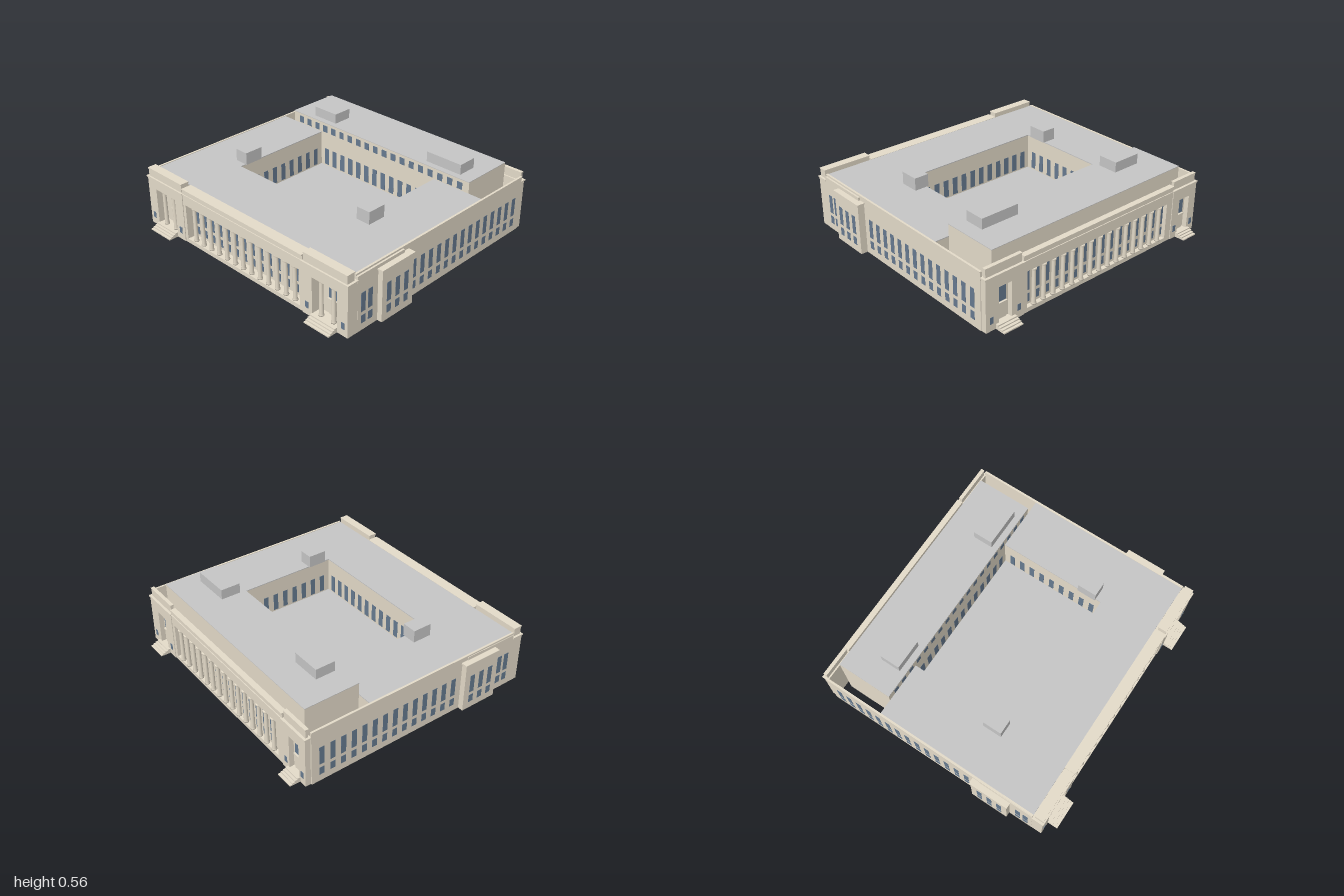
import * as THREE from 'three';

const paint = (name, color) => {
  const m = new THREE.MeshStandardMaterial({ color });
  m.name = name;
  return m;
};

export function createModel() {
  const model = new THREE.Group();
  model.name = 'courtyardBuilding';
  const stone = paint('limestone', 0xe4dbc9);
  const roof = paint('roofGrey', 0xc6c6c6);
  const glass = paint('windowBlue', 0x667a90);

  const add = (parent, name, geo, mat, x = 0, y = 0, z = 0) => {
    const m = new THREE.Mesh(geo, mat);
    m.name = name;
    m.position.set(x, y, z);
    parent.add(m);
    return m;
  };
  // Box given by its limits on each axis
  const box = (parent, name, mat, x0, x1, y0, y1, z0, z1) =>
    add(parent, name, new THREE.BoxGeometry(x1 - x0, y1 - y0, z1 - z0), mat,
      (x0 + x1) / 2, (y0 + y1) / 2, (z0 + z1) / 2);
  // Thin window plates centred on a wall face, facing z or x
  const paneZ = (p, x, y0, y1, z, w = 0.042) =>
    box(p, 'window', glass, x - w / 2, x + w / 2, y0, y1, z - 0.0015, z + 0.0015);
  const paneX = (p, z, y0, y1, x, w = 0.038) =>
    box(p, 'window', glass, x - 0.0015, x + 0.0015, y0, y1, z - w / 2, z + w / 2);
  const LOW = [0.05, 0.107], HIGH = [0.132, 0.267];

  // Slab with one rectangular opening
  const pierced = (parent, name, x0, x1, top, hx0, hx1, hy0, hy1, z0, z1) => {
    const s = new THREE.Shape([[x0, 0], [x1, 0], [x1, top], [x0, top]].map(p => new THREE.Vector2(...p)));
    s.holes.push(new THREE.Path([[hx0, hy0], [hx0, hy1], [hx1, hy1], [hx1, hy0]].map(p => new THREE.Vector2(...p))));
    add(parent, name, new THREE.ExtrudeGeometry(s, { depth: z1 - z0, bevelEnabled: false }), stone, 0, 0, z0);
  };

  // Column with base and capital, 0.26 tall
  const columnGeo = new THREE.LatheGeometry([
    [0, 0], [0.018, 0], [0.018, 0.008], [0.015, 0.014], [0.013, 0.238],
    [0.018, 0.248], [0.018, 0.26], [0, 0.26],
  ].map(p => new THREE.Vector2(...p)), 12);
  const column = (p, x, z) => add(p, 'column', columnGeo, stone, x, 0.03, z);

  // Whole street facade, built facing +z
  const facade = (name, o) => {
    const g = new THREE.Group();
    g.name = name;
    model.add(g);
    const [left, right] = o.pavilions;
    const a = left.x1, b = right.x0;
    const half = o.count * o.pitch / 2;
    const hole = half - 0.018;
    const back = o.z0 + 0.004;
    // colonnade
    pierced(g, 'colonnadeWall', a, b, 0.40, o.mid - hole, o.mid + hole, 0.03, 0.29, back, o.z1 - 0.008);
    box(g, 'recessWall', stone, a, b, 0, 0.4, o.z0, back);
    box(g, 'cornice', stone, a, b, 0.362, 0.37, o.z1 - 0.01, o.z1 - 0.002);
    box(g, 'coping', stone, a, b, 0.40, 0.408, o.z0, o.z1 - 0.002);
    for (let i = 0; i < o.count; i++) {
      const x = o.mid - half + (i + 0.5) * o.pitch;
      paneZ(g, x, ...LOW, back + 0.001);
      paneZ(g, x, ...HIGH, back + 0.001);
      if (i) column(g, x - o.pitch / 2, o.z1 - o.columnInset);
    }
    // end pavilions
    for (const p of o.pavilions) {
      const d = p.door, w = p.half;
      pierced(g, 'pavilionWall', p.x0, p.x1, 0.362, d - w, d + w, 0.03, o.doorTop, back, o.z1 - 0.003);
      box(g, 'pavilionRecess', stone, p.x0, p.x1, 0, 0.362, o.z0, back);
      box(g, 'pavilionCornice', stone, p.x0 - 0.006, p.x1 + 0.006, 0.362, 0.372, o.z0 - 0.003, o.z1 + 0.003);
      box(g, 'attic', stone, p.x0 + 0.01, p.x1 - 0.01, 0.372, 0.426, o.attic[0], o.attic[1]);
      box(g, 'atticCoping', stone, p.x0 + 0.007, p.x1 - 0.007, 0.426, 0.434, o.attic[0] - 0.003, o.attic[1] + 0.003);
      paneZ(g, d, 0.148, 0.272, back + 0.001, 0.066);
      box(g, 'doorHood', stone, d - 0.036, d + 0.036, 0.135, 0.146, back, back + 0.014);
      box(g, 'door', stone, d - 0.028, d + 0.028, 0.03, 0.13, back, back + 0.006);
      if (o.doorColumns) for (const s of [-1, 1]) column(g, d + s * 0.052, o.z1 - o.columnInset);
      for (const x of p.small) paneZ(g, x, 0.05, 0.096, o.z1 - 0.002, 0.026);
      // entrance steps
      for (let i = 0; i < 4; i++)
        box(g, 'step', stone, d - p.steps, d + p.steps, i * 0.0085, (i + 1) * 0.0085,
          o.z1 - 0.003, o.stepZ - i * (o.stepZ - o.z1) / 4);
    }
    return g;
  };

  facade('frontFacade', {
    z0: 0.80, z1: 0.883, stepZ: 0.953, mid: 0, count: 14, pitch: 0.081, columnInset: 0.03,
    doorTop: 0.29, doorColumns: true, attic: [0.815, 0.874],
    pavilions: [
      { x0: -0.955, x1: -0.575, door: -0.765, half: 0.105, steps: 0.104, small: [-0.915, -0.617] },
      { x0: 0.575, x1: 0.955, door: 0.765, half: 0.105, steps: 0.104, small: [0.917, 0.617] },
    ],
  });
  facade('backFacade', {
    z0: 0.842, z1: 0.885, stepZ: 0.957, mid: 0.02, count: 16, pitch: 0.081, columnInset: 0.02,
    doorTop: 0.28, doorColumns: false, attic: [0.85, 0.87],
    pavilions: [
      { x0: -0.938, x1: -0.64, door: -0.787, half: 0.05, steps: 0.075, small: [-0.895, -0.68] },
      { x0: 0.705, x1: 0.943, door: 0.825, half: 0.05, steps: 0.063, small: [0.91, 0.74] },
    ],
  }).rotation.y = Math.PI;

  // Side walls, projecting bays and their windows
  for (const s of [-1, 1]) {
    const g = new THREE.Group();
    g.name = s > 0 ? 'leftSide' : 'rightSide';
    model.add(g);
    const wall = (name, a, b, y0, y1, z0, z1) =>
      box(g, name, stone, Math.min(s * a, s * b), Math.max(s * a, s * b), y0, y1, z0, z1);
    const face = s > 0 ? 0.943 : 0.952;
    wall('sideWall', face - 0.012, face, 0, 0.404, -0.843, 0.80);
    wall('sideCoping', face - 0.012, face + 0.003, 0.404, 0.41, -0.843, 0.80);
    wall('sideThickening', face, 0.956, 0, 0.395, 0.39, 0.80);
    wall('sideBay', face, 0.992, 0, 0.362, 0.345, 0.625);
    wall('bayCornice', face, 0.998, 0.362, 0.372, 0.338, 0.632);
    const row = (z, x) => [LOW, HIGH].forEach(r => paneX(g, z, ...r, s * x));
    [0.75, 0.69].forEach(z => row(z, 0.956));
    [0.565, 0.488, 0.41].forEach(z => row(z, 0.992));
    for (let i = 0; i < 14; i++) row(0.279 - i * 0.0805, face);
  }

  // Low roof around the court
  const T = 0.004;
  box(model, 'frontRoof', roof, -0.942, 0.932, 0.4, 0.406, 0.387, 0.80);
  box(model, 'rightWingRoof', roof, -0.942, -0.543, 0.4, 0.406, -0.403, 0.387);
  box(model, 'leftWingRoof', roof, 0.533, 0.932, 0.4, 0.406, -0.403, 0.387);

  // Court walls and floor; the front one runs across the whole block
  box(model, 'courtFrontWall', stone, -0.942, 0.932, 0, 0.4, 0.389, 0.389 + T);
  box(model, 'courtRightWall', stone, -0.545 - T, -0.545, 0, 0.4, -0.403, 0.389);
  box(model, 'courtLeftWall', stone, 0.535, 0.535 + T, 0, 0.4, -0.403, 0.389);
  box(model, 'rightWingEnd', stone, -0.942, -0.834, 0, 0.4, -0.403, -0.403 + T);
  box(model, 'leftWingEnd', stone, 0.824, 0.932, 0, 0.4, -0.403, -0.403 + T);
  box(model, 'courtFloor', roof, -0.545, 0.535, 0.134, 0.14, -0.403, 0.389);
  for (let i = 0; i < 13; i++) {
    const x = -0.005 + (i - 6) * 0.0805;
    paneZ(model, x, 0.15, 0.28, 0.389);
    paneZ(model, x, 0.15, 0.28, -0.403);
  }
  for (let i = 0; i < 9; i++) {
    const z = -0.007 + (i - 4) * 0.083;
    paneX(model, z, 0.15, 0.28, -0.545);
    paneX(model, z, 0.15, 0.28, 0.535);
  }

  // Taller back block, hollow, with a clerestory row
  box(model, 'backBlockFront', stone, -0.834, 0.824, 0, 0.486, -0.403 - T, -0.403);
  box(model, 'backBlockRear', stone, -0.834, 0.824, 0, 0.486, -0.804, -0.804 + T);
  box(model, 'backBlockRightEnd', stone, -0.834, -0.834 + T, 0, 0.486, -0.80, -0.407);
  box(model, 'backBlockLeftEnd', stone, 0.824 - T, 0.824, 0, 0.486, -0.80, -0.407);
  box(model, 'backBlockRoof', roof, -0.834, 0.824, 0.486, 0.49, -0.804, -0.401);
  for (let i = 0; i < 19; i++) paneZ(model, -0.003 + (i - 9) * 0.0835, 0.413, 0.465, -0.403, 0.043);

  // Rooftop plant boxes
  for (const [x0, x1, y0, y1, z0, z1] of [
    [-0.652, -0.438, 0.49, 0.563, -0.59, -0.445],
    [0.43, 0.717, 0.49, 0.563, -0.59, -0.445],
    [-0.636, -0.53, 0.406, 0.495, 0.207, 0.346],
    [0.52, 0.626, 0.406, 0.495, 0.207, 0.346],
  ]) box(model, 'plantBox', roof, x0, x1, y0, y1, z0, z1);

  return model;
}
